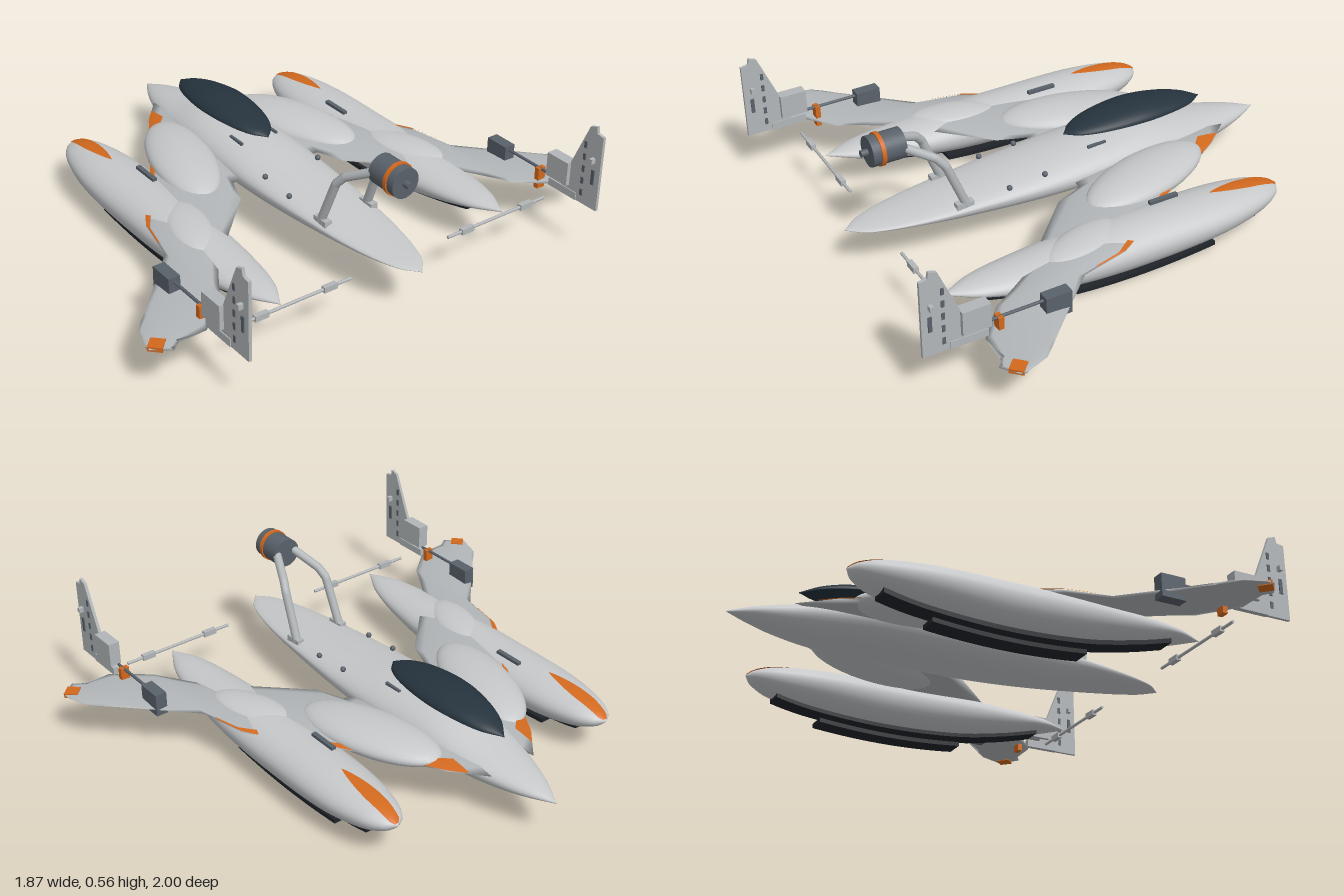
import * as THREE from 'three';

const mat = (name, color, side = THREE.FrontSide) => {
  const m = new THREE.MeshStandardMaterial({ color, side });
  m.name = name;
  return m;
};

// Piecewise-smooth interpolation in a station table keyed by its first column
function sample(table, x) {
  let i = 0;
  while (i < table.length - 2 && x > table[i + 1][0]) i++;
  const a = table[i], b = table[i + 1], p = table[Math.max(i - 1, 0)], q = table[Math.min(i + 2, table.length - 1)];
  const h = b[0] - a[0], t = THREE.MathUtils.clamp((x - a[0]) / h, 0, 1);
  return a.map((v, k) => {
    if (k === 0) return x;
    const ma = (b[k] - p[k]) / (b[0] - p[0]) * h, mb = (q[k] - v) / (q[0] - a[0]) * h;
    const t2 = t * t, t3 = t2 * t;
    return (2 * t3 - 3 * t2 + 1) * v + (t3 - 2 * t2 + t) * ma + (3 * t2 - 2 * t3) * b[k] + (t3 - t2) * mb;
  });
}

// Closed skin over rings of points, capped at both ends and wound outwards
function loft(rings) {
  const n = rings[0].length, pos = rings.flat(2), idx = [];
  for (let i = 0; i < rings.length - 1; i++) for (let j = 0; j < n; j++) {
    const a = i * n + j, b = i * n + (j + 1) % n;
    idx.push(a, b, a + n, b, b + n, a + n);
  }
  [0, rings.length - 1].forEach((r, e) => {
    const c = pos.length / 3;
    for (let k = 0; k < 3; k++) pos.push(rings[r].reduce((s, p) => s + p[k], 0) / n);
    for (let j = 0; j < n; j++) {
      const a = r * n + j, b = r * n + (j + 1) % n;
      idx.push(...(e ? [a, b, c] : [b, a, c]));
    }
  });
  const v = i => new THREE.Vector3().fromArray(pos, idx[i] * 3);
  let vol = 0;
  for (let i = 0; i < idx.length; i += 3) vol += v(i).dot(v(i + 1).cross(v(i + 2)));
  if (vol < 0) idx.reverse();
  return surface(pos, idx);
}

function surface(pos, idx) {
  const g = new THREE.BufferGeometry();
  g.setAttribute('position', new THREE.Float32BufferAttribute(pos, 3));
  g.setIndex(idx);
  g.computeVertexNormals();
  return g;
}

// Open sheet from a function of (u, v)
function sheet(f, nu = 20, nv = 4) {
  const pos = [], idx = [];
  for (let i = 0; i <= nu; i++) for (let j = 0; j <= nv; j++) {
    pos.push(...f(i / nu, j / nv));
    if (i < nu && j < nv) {
      const a = i * (nv + 1) + j, b = a + nv + 1;
      idx.push(a, a + 1, b, a + 1, b + 1, b);
    }
  }
  return surface(pos, idx);
}

// Stations: x, half width, waterline y, top y, bottom y
function hull(table, z0, n = 36, steps = 56) {
  const x0 = table[0][0], x1 = table[table.length - 1][0], rings = [];
  for (let i = 0; i <= steps; i++) {
    const x = x0 + (x1 - x0) * (0.5 - 0.5 * Math.cos(Math.PI * i / steps));
    const [, w, m, t, b] = sample(table, x);
    rings.push(Array.from({ length: n }, (_, j) => {
      const a = j / n * Math.PI * 2, s = Math.sin(a);
      return [x, m + s * (s > 0 ? t - m : m - b), z0 + Math.max(w, 0.0005) * Math.cos(a)];
    }));
  }
  return loft(rings);
}

const BODY = [[-0.94, 0, 0.17, 0.172, 0.168], [-0.85, 0.05, 0.175, 0.2, 0.15], [-0.75, 0.088, 0.18, 0.222, 0.13],
  [-0.6, 0.13, 0.19, 0.25, 0.115], [-0.4, 0.158, 0.2, 0.292, 0.115], [-0.15, 0.167, 0.205, 0.29, 0.115],
  [0.1, 0.16, 0.205, 0.266, 0.118], [0.35, 0.14, 0.205, 0.242, 0.135], [0.6, 0.108, 0.2, 0.222, 0.165],
  [0.79, 0.056, 0.197, 0.208, 0.188], [0.86, 0, 0.197, 0.199, 0.195]];
const FLOAT = [[-0.69, 0, 0.165, 0.167, 0.163], [-0.66, 0.045, 0.163, 0.187, 0.135], [-0.58, 0.085, 0.16, 0.21, 0.1],
  [-0.4, 0.118, 0.155, 0.226, 0.068], [-0.1, 0.123, 0.15, 0.23, 0.052], [0.2, 0.12, 0.155, 0.226, 0.068],
  [0.42, 0.1, 0.165, 0.217, 0.108], [0.6, 0.062, 0.178, 0.207, 0.155], [0.72, 0, 0.188, 0.19, 0.186]];
const CANOPY = [[-0.67, 0, 0.302, 0.304, 0.3], [-0.6, 0.05, 0.311, 0.334, 0.307], [-0.5, 0.083, 0.32, 0.358, 0.314],
  [-0.36, 0.1, 0.326, 0.372, 0.32], [-0.2, 0.084, 0.325, 0.359, 0.32], [-0.1, 0.048, 0.32, 0.338, 0.316], [-0.05, 0, 0.315, 0.317, 0.313]];
// Wing sections: z, leading x, trailing x, centre y, half thickness
const WING = [[0.1, -0.72, -0.02, 0.205, 0.026], [0.2, -0.6, 0, 0.205, 0.026], [0.24, -0.53, 0.11, 0.205, 0.024],
  [0.44, -0.2, 0.31, 0.204, 0.02], [0.55, -0.06, 0.42, 0.203, 0.018], [0.62, 0.06, 0.53, 0.202, 0.015], [0.66, 0.25, 0.6, 0.2, 0.01],
  [0.79, 0.39, 0.71, 0.2, 0.008], [0.9, 0.505, 0.715, 0.2, 0.007], [0.935, 0.54, 0.74, 0.2, 0.007],
  [0.97, 0.58, 0.715, 0.2, 0.006], [0.998, 0.665, 0.695, 0.2, 0.005]];

function wingPoint(s, u, sign, lift = 0) {
  return [s[1] + (s[2] - s[1]) * u, s[3] + sign * (s[4] * Math.pow(Math.max(Math.sin(Math.PI * u), 0), 0.8) + lift), s[0]];
}
function wingAt(z) {
  let i = 0;
  while (i < WING.length - 2 && z > WING[i + 1][0]) i++;
  const a = WING[i], b = WING[i + 1], t = (z - a[0]) / (b[0] - a[0]);
  return a.map((v, k) => v + (b[k] - v) * t);
}

function extrudeXY(points, depth) {
  const shape = new THREE.Shape(points.map(p => new THREE.Vector2(...p)));
  return new THREE.ExtrudeGeometry(shape, { depth, bevelEnabled: false }).translate(0, 0, -depth / 2);
}

export function createModel() {
  const hullGrey = mat('hull grey', 0xc6c8ca), wingGrey = mat('wing grey', 0xb2b6b8);
  const orange = mat('orange trim', 0xd2691e, THREE.DoubleSide), glass = mat('dark canopy', 0x26333d);
  const black = mat('skid black', 0x202429), engineGrey = mat('engine grey', 0x59616a);
  const model = new THREE.Group(), side = new THREE.Group();
  const add = (parent, name, geo, material, x = 0, y = 0, z = 0) => {
    const m = new THREE.Mesh(geo, material);
    m.name = name;
    m.position.set(x, y, z);
    parent.add(m);
    return m;
  };
  const box = (name, m, size, at) => add(side, name, new THREE.BoxGeometry(...size), m, ...at);
  const rodX = (r, len, n = 24) => new THREE.CylinderGeometry(r, r, len, n).rotateZ(Math.PI / 2);

  // Centre body, canopy and engine
  add(model, 'fuselage', hull(BODY, 0), hullGrey);
  add(model, 'canopy', hull(CANOPY, 0), glass);
  add(model, 'engine', rodX(0.058, 0.13, 32), engineGrey, 0.685, 0.498, 0);
  add(model, 'engineRing', rodX(0.063, 0.016, 32), orange, 0.71, 0.498, 0);
  add(model, 'engineShaft', rodX(0.013, 0.03), engineGrey, 0.762, 0.498, 0);

  // Wing with blisters
  const rings = WING.map(s => {
    const ring = [];
    for (let j = 0; j <= 12; j++) ring.push(wingPoint(s, j / 12, 1));
    for (let j = 11; j > 0; j--) ring.push(wingPoint(s, j / 12, -1));
    return ring;
  });
  add(side, 'wing', loft(rings), wingGrey);
  const blister = (name, size, at, yaw) => {
    const m = add(side, name, new THREE.SphereGeometry(1, 36, 20), hullGrey, ...at);
    m.scale.set(...size);
    m.rotation.y = yaw;
  };
  blister('wingBlister', [0.3, 0.055, 0.125], [-0.25, 0.212, 0.265], -0.28);
  blister('outerBlister', [0.18, 0.03, 0.08], [0.16, 0.207, 0.5], -0.3);

  // Orange trim along the leading edge and at the tip
  const edgeTrim = (z0, z1, w0, w1) => sheet((u, v) => {
    const s = wingAt(z0 + (z1 - z0) * u);
    return wingPoint(s, v * (w0 + (w1 - w0) * u) / (s[2] - s[1]), 1, 0.004);
  });
  add(side, 'leadingEdgeTrim', edgeTrim(0.15, 0.44, 0.09, 0.025), orange);
  add(side, 'outerEdgeTrim', edgeTrim(0.57, 0.645, 0.04, 0.02), orange);
  box('tipMarking', orange, [0.052, 0.018, 0.052], [0.683, 0.2, 0.965]).rotation.y = Math.PI / 4;
  box('wingPlate', engineGrey, [0.12, 0.012, 0.018], [-0.21, 0.234, 0.45]);

  // Float with nose marking and skids
  add(side, 'float', hull(FLOAT, 0.5), hullGrey);
  add(side, 'floatNoseMarking', sheet((u, v) => {
    const x = -0.685 + 0.305 * u, [, w, m, t] = sample(FLOAT, x);
    const k = (v - 0.5) * 2 * Math.min(0.03 * Math.pow(Math.sin(Math.PI * (0.18 + 0.82 * u)), 0.8), w * 0.9);
    return [x, m + (t - m) * Math.sqrt(Math.max(1 - (k / w) ** 2, 0)) + 0.004, 0.5 + k];
  }), orange);
  const skid = (x0, x1, top, low) => {
    const upper = [], lower = [];
    for (let i = 0; i <= 24; i++) {
      const x = x0 + (x1 - x0) * i / 24, y = sample(FLOAT, x)[4];
      upper.push([x, y + top]);
      lower.unshift([x, y + low]);
    }
    return extrudeXY([...upper, ...lower], 0.075);
  };
  add(side, 'skid', skid(-0.57, 0.57, 0.012, -0.012), black, 0, 0, 0.505);
  add(side, 'skidPad', skid(-0.39, 0.21, -0.034, -0.051), black, 0, 0, 0.505);

  // Tail fin with its fittings
  const Z = 0.77;
  add(side, 'fin', extrudeXY([[0.74, 0.2], [0.79, 0.345], [0.865, 0.525], [0.895, 0.535], [0.9, 0.51], [0.93, 0.505], [0.93, 0.2]], 0.012), wingGrey, 0, 0, Z);
  box('finBlock', wingGrey, [0.105, 0.095, 0.045], [0.738, 0.293, Z]);
  box('finFoot', wingGrey, [0.14, 0.03, 0.02], [0.76, 0.215, Z]);
  box('finTab', engineGrey, [0.014, 0.06, 0.02], [0.9, 0.33, Z]);
  box('finCrossbar', wingGrey, [0.014, 0.02, 0.05], [0.897, 0.4, Z]);
  for (let i = 0; i < 5; i++) box('finHinge', engineGrey, [0.012, 0.026, 0.018], [0.852, 0.245 + i * 0.05, Z]);
  box('actuatorBox', engineGrey, [0.1, 0.09, 0.046], [0.425, 0.22, Z - 0.008]);
  add(side, 'actuatorRod', rodX(0.006, 0.22, 10), engineGrey, 0.57, 0.247, Z - 0.008);
  box('actuatorBracket', orange, [0.02, 0.085, 0.035], [0.642, 0.21, Z - 0.008]);

  // Cross rod with sleeves
  add(side, 'crossRod', new THREE.CylinderGeometry(0.006, 0.006, 0.47, 10).rotateX(Math.PI / 2), wingGrey, 0.74, 0.193, 0.455);
  for (const z of [0.31, 0.595]) box('rodSleeve', wingGrey, [0.02, 0.022, 0.055], [0.74, 0.193, z]);

  // Engine strut and deck bolts
  const bends = [[0.42, 0.22, 0.105], [0.495, 0.41, 0.098], [0.525, 0.445, 0.085], [0.64, 0.505, 0.035]].map(p => new THREE.Vector3(...p));
  const strut = new THREE.CurvePath();
  for (let i = 0; i < 3; i++) strut.add(new THREE.LineCurve3(bends[i], bends[i + 1]));
  add(side, 'engineStrut', new THREE.TubeGeometry(strut, 30, 0.017, 12), wingGrey);
  add(side, 'strutFoot', new THREE.BoxGeometry(0.07, 0.025, 0.03), wingGrey, 0.43, 0.225, 0.105);
  for (const x of [0.1, 0.25]) add(side, 'deckBolt', new THREE.SphereGeometry(0.011, 12, 8), engineGrey, x, 0.255 - (x - 0.1) * 0.07, 0.122);
  box('canopyRail', engineGrey, [0.08, 0.012, 0.01], [-0.15, 0.281, 0.08]);

  // Mirror the whole left side to the right
  const other = new THREE.Group();
  for (const part of side.children) {
    part.updateMatrix();
    const g = (part.geometry.index ? part.geometry.clone() : part.geometry.clone().setIndex(
      Array.from({ length: part.geometry.attributes.position.count }, (_, i) => i)));
    g.applyMatrix4(part.matrix).applyMatrix4(new THREE.Matrix4().makeScale(1, 1, -1));
    g.index.array.reverse();
    g.clearGroups();
    add(other, part.name, g, part.material);
  }
  side.name = 'leftSide';
  other.name = 'rightSide';
  model.add(side, other);
  model.name = 'floatCraft';
  return model;
}
